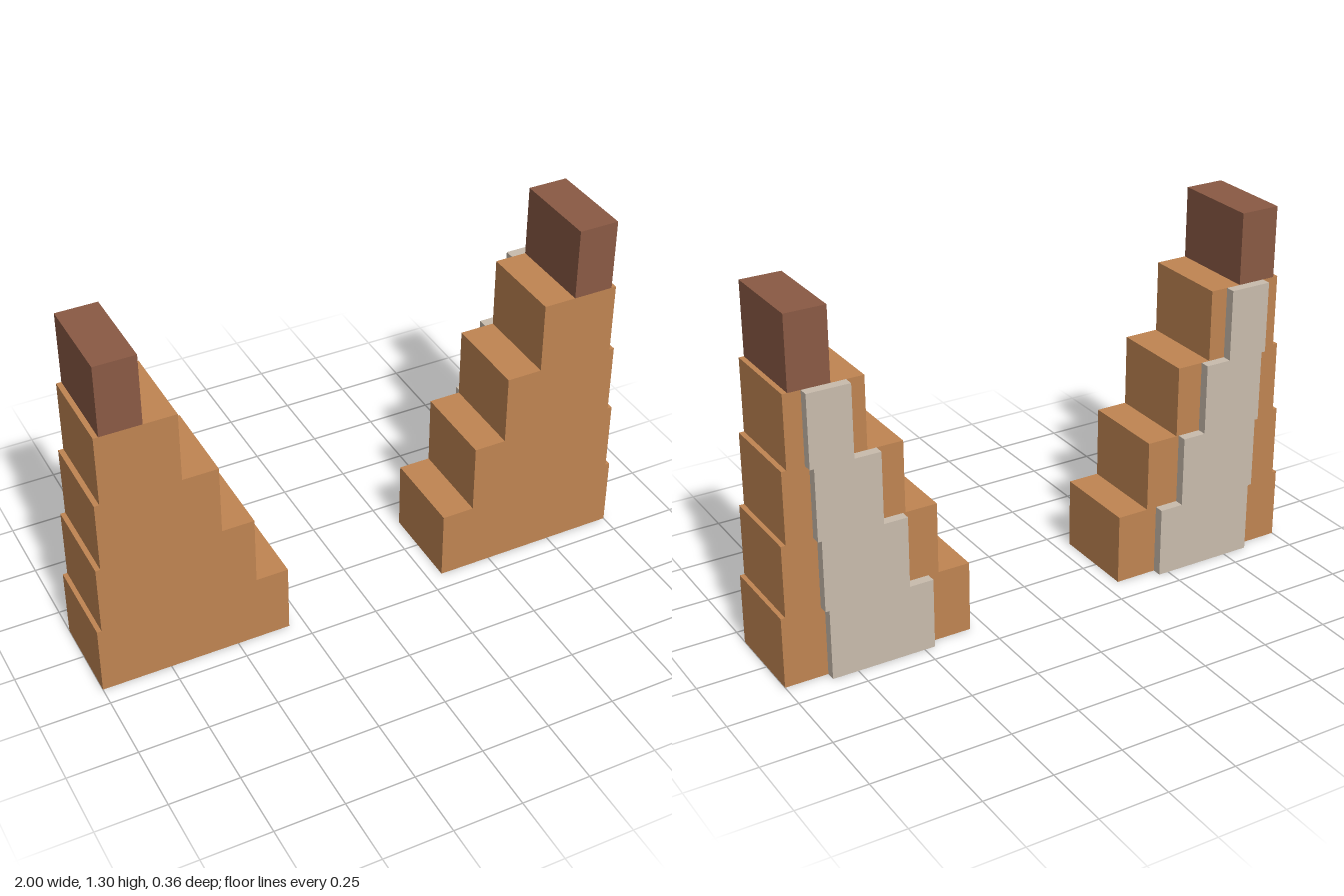
import * as THREE from 'three';

const STEP = 0.261;            // height of one tier
const BACK = -0.145, FRONT = 0.18;
// inner and outer x of each tier, bottom to top
const TIERS = [[0.305, 1], [0.423, 0.984], [0.54, 0.967], [0.668, 0.949]];

// Stepped silhouette extruded from z0 to z1; side mirrors it in x
function steppedSlab(tiers, side, z0, z1) {
  const inner = [], outer = [];
  tiers.forEach(([a, b], i) => {
    for (const y of [i * STEP, (i + 1) * STEP]) {
      inner.push(new THREE.Vector2(side * a, y));
      outer.push(new THREE.Vector2(side * b, y));
    }
  });
  const shape = new THREE.Shape([...inner, ...outer.reverse()]);
  const geometry = new THREE.ExtrudeGeometry(shape, { depth: z1 - z0, bevelEnabled: false });
  return geometry.translate(0, 0, z0);
}

export function createModel() {
  const model = new THREE.Group();
  model.name = 'steppedTowers';
  const material = (name, color) => {
    const m = new THREE.MeshStandardMaterial({ color });
    m.name = name;
    return m;
  };
  const tan = material('tan', 0xc08552);
  const brown = material('brown', 0x8a5a44);
  const stone = material('stone', 0xc9bcad);

  // Back panel tiers: 55% of the tower width, same centres
  const panelTiers = TIERS.map(([a, b]) => {
    const centre = (a + b) / 2, half = (b - a) * 0.275;
    return [centre - half, centre + half];
  });

  for (const side of [-1, 1]) {
    const tower = new THREE.Group();
    tower.name = side > 0 ? 'leftTower' : 'rightTower';
    const add = (name, geometry, mat) => {
      const mesh = new THREE.Mesh(geometry, mat);
      mesh.name = name;
      tower.add(mesh);
      return mesh;
    };

    add('tieredBody', steppedSlab(TIERS, side, BACK, FRONT), tan);
    add('backPanel', steppedSlab(panelTiers, side, -0.18, BACK), stone);
    // Block on the top tier
    add('topBlock', new THREE.BoxGeometry(0.146, STEP, FRONT - BACK), brown)
      .position.set(side * 0.858, STEP * 4.5, (FRONT + BACK) / 2);

    model.add(tower);
  }
  return model;
}
